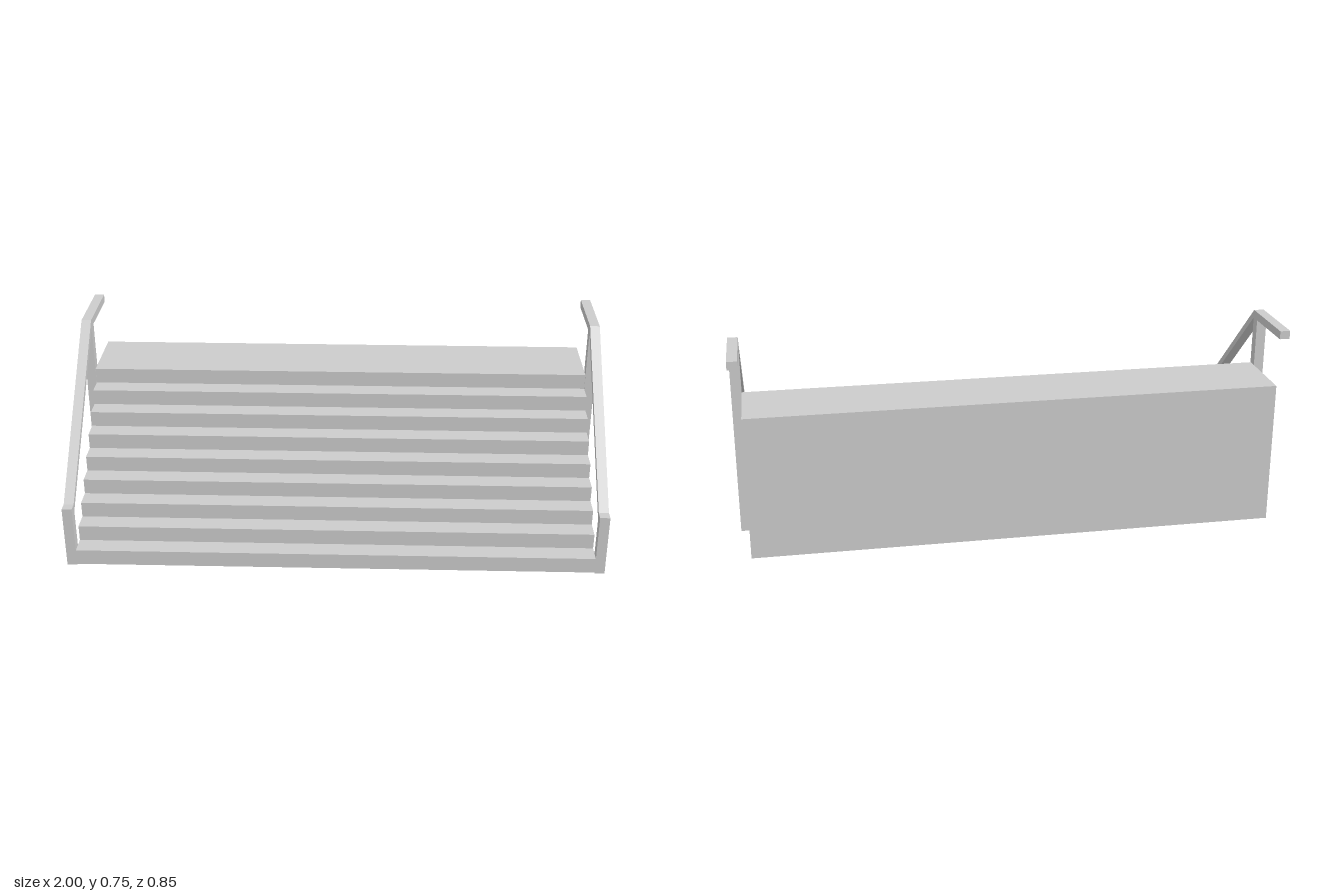
import * as THREE from 'three';

const material = new THREE.MeshStandardMaterial({ color: 0xcccccc, flatShading: true });

// Extrudes a side profile of [z, y] points across x, centred on x = centre
function sideProfile(name, points, width, centre = 0) {
  const shape = new THREE.Shape(points.map(([z, y]) => new THREE.Vector2(z, y)));
  const geometry = new THREE.ExtrudeGeometry(shape, { depth: width, bevelEnabled: false });
  geometry.translate(0, 0, -width / 2);
  geometry.rotateY(-Math.PI / 2);
  const mesh = new THREE.Mesh(geometry, material);
  mesh.name = name;
  mesh.position.x = centre;
  return mesh;
}

const rect = (z0, z1, y0, y1) => [[z0, y0], [z1, y0], [z1, y1], [z0, y1]];

export function createModel() {
  const model = new THREE.Group();
  model.name = 'staircase';

  // Solid flight of steps ending in a landing
  const steps = 9, base = 0.003, rise = 0.0593, tread = 0.0731;
  const front = 0.427, back = -0.427;
  const profile = [[back, base], [front, base]];
  for (let i = 0; i < steps; i++) {
    const z = front - i * tread;
    const y = base + (i + 1) * rise;
    profile.push([z, y], [i === steps - 1 ? back : z - tread, y]);
  }
  model.add(sideProfile('steps', profile, 1.926));

  // Matching handrails on both sides
  const railWidth = 0.037;
  for (const side of [-1, 1]) {
    const rail = new THREE.Group();
    rail.name = side > 0 ? 'leftHandrail' : 'rightHandrail';
    const x = side * (1 - railWidth / 2);
    rail.add(
      sideProfile('frontPost', rect(0.39, front, 0, 0.238), railWidth, x),
      sideProfile('rearPost', rect(-0.192, -0.155, 0, 0.715), railWidth, x),
      sideProfile('slopedRail', [[0.39, 0.209], [0.39, 0.238], [-0.155, 0.745], [-0.155, 0.715]], railWidth, x),
      sideProfile('levelRail', rect(-0.424, -0.155, 0.715, 0.745), railWidth, x),
    );
    model.add(rail);
  }
  return model;
}
